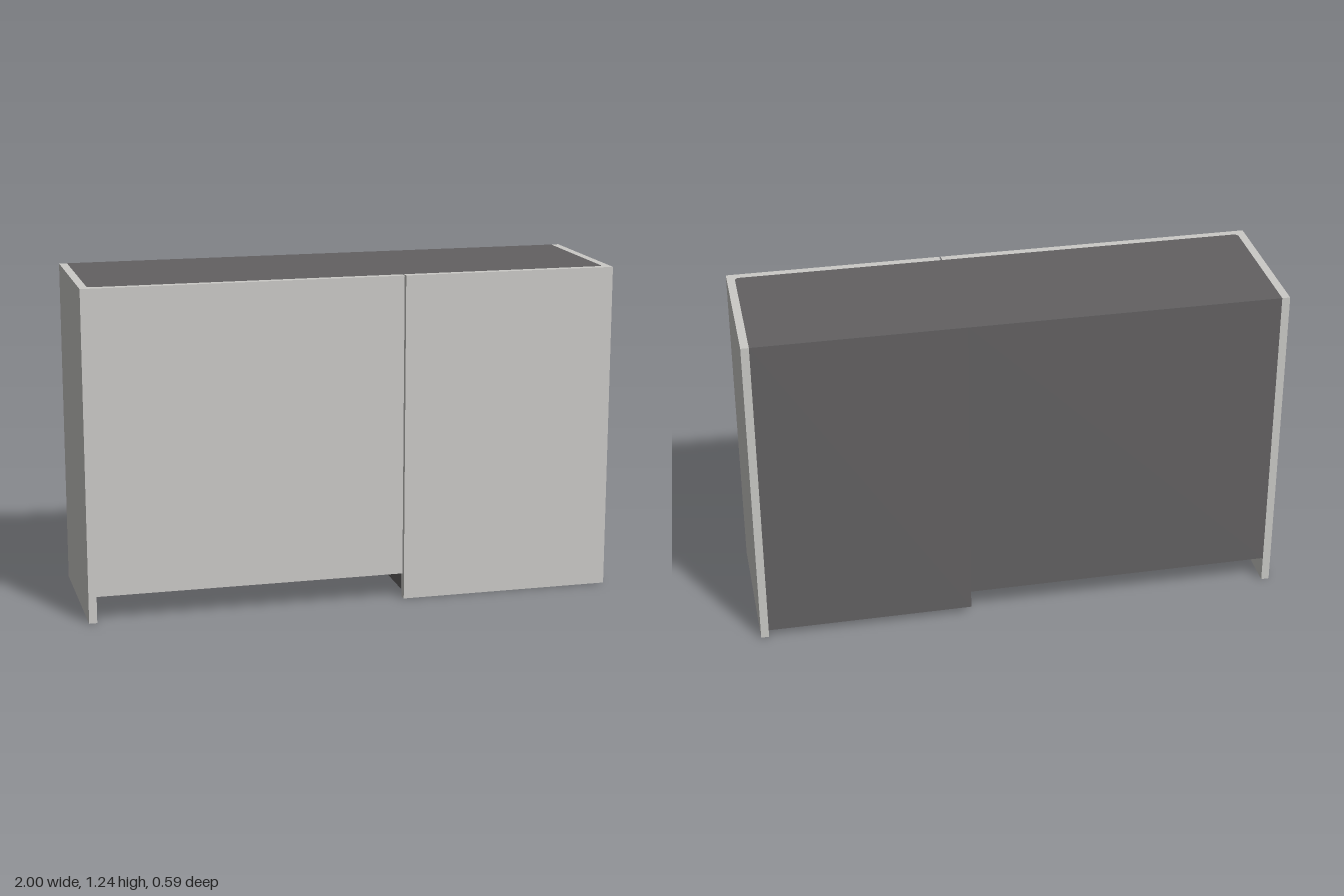
import * as THREE from 'three';

const TOP = 1.237, BACK = -0.295, FRONT = 0.295;
const T = 0.03;      // panel thickness
const SEAM = 0.192;  // joint between the two front panels
const R = 0.02;      // inner corner radius

export function createModel() {
  const panelMat = new THREE.MeshStandardMaterial({ color: 0xcbcac7 });
  panelMat.name = 'light grey panel';
  const bodyMat = new THREE.MeshStandardMaterial({ color: 0x636162 });
  bodyMat.name = 'dark grey body';
  const model = new THREE.Group();
  model.name = 'cabinet';

  // Extrudes a floor plan, drawn as (x, -z), from y0 up to the top
  const rise = (name, shape, y0, material) => {
    const geo = new THREE.ExtrudeGeometry(shape, { depth: TOP - y0, bevelEnabled: false, curveSegments: 6 });
    geo.rotateX(-Math.PI / 2);
    geo.translate(0, y0, 0);
    const mesh = new THREE.Mesh(geo, material);
    mesh.name = name;
    model.add(mesh);
  };

  // L-shaped panel: one side wall and its share of the front; s is the side
  const panelPlan = (s, seamX) => {
    const p = new THREE.Shape();
    const xi = s * (1 - T), zi = FRONT - T;
    p.moveTo(seamX, -FRONT);
    p.lineTo(s, -FRONT);
    p.lineTo(s, -BACK);
    p.lineTo(xi, -BACK);
    p.lineTo(xi, -(zi - R));
    p.quadraticCurveTo(xi, -zi, xi - s * R, -zi);
    p.lineTo(seamX, -zi);
    p.closePath();
    return p;
  };

  // Core behind each panel, with a matching rounded front corner
  const bodyPlan = (s) => {
    const p = new THREE.Shape();
    const xi = s * (1 - T), zi = FRONT - T;
    p.moveTo(SEAM, -zi);
    p.lineTo(xi - s * R, -zi);
    p.quadraticCurveTo(xi, -zi, xi, -(zi - R));
    p.lineTo(xi, -BACK);
    p.lineTo(SEAM, -BACK);
    p.closePath();
    return p;
  };

  rise('leftPanel', panelPlan(1, SEAM + 0.003), 0, panelMat);
  rise('rightPanel', panelPlan(-1, SEAM - 0.003), 0.1, panelMat);
  rise('leftBody', bodyPlan(1), 0.03, bodyMat);
  rise('rightBody', bodyPlan(-1), 0.1, bodyMat);

  // Foot of the right side wall, reaching the floor
  const foot = new THREE.Mesh(new THREE.BoxGeometry(T, 0.1, FRONT - BACK), panelMat);
  foot.name = 'rightFoot';
  foot.position.set(-1 + T / 2, 0.05, 0);
  model.add(foot);

  return model;
}
